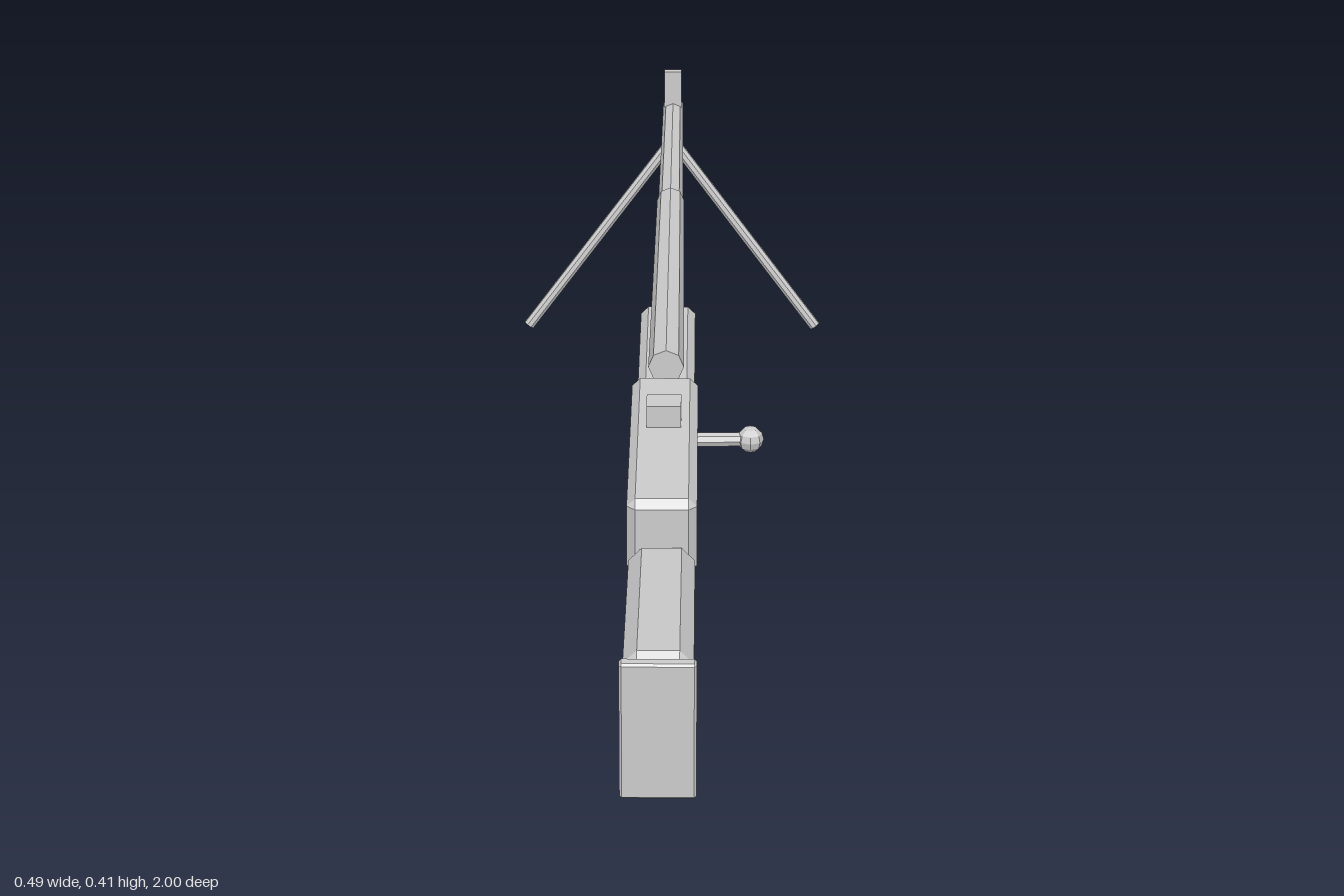
import * as THREE from 'three';
import { ConvexGeometry } from 'three/addons/geometries/ConvexGeometry.js';

const material = new THREE.MeshStandardMaterial({ color: 0xcccccc, flatShading: true });

// Box with every edge and corner chamfered by c
function chamferBox(w, h, d, c) {
  const points = [];
  for (const sx of [-1, 1]) for (const sy of [-1, 1]) for (const sz of [-1, 1]) {
    const x = w / 2, y = h / 2, z = d / 2;
    points.push(
      new THREE.Vector3(sx * x, sy * (y - c), sz * (z - c)),
      new THREE.Vector3(sx * (x - c), sy * y, sz * (z - c)),
      new THREE.Vector3(sx * (x - c), sy * (y - c), sz * z)
    );
  }
  return new ConvexGeometry(points);
}

export function createModel() {
  const model = new THREE.Group();

  function add(name, geometry, x, y, z, parent = model) {
    const mesh = new THREE.Mesh(geometry, material);
    mesh.name = name;
    mesh.position.set(x, y, z);
    parent.add(mesh);
    return mesh;
  }
  const box = (w, h, d) => new THREE.BoxGeometry(w, h, d);

  // Cylinder between two points
  function rod(name, a, b, radius, sides = 8) {
    const dir = b.clone().sub(a);
    const mid = a.clone().add(b).multiplyScalar(0.5);
    const mesh = add(name, new THREE.CylinderGeometry(radius, radius, dir.length(), sides), mid.x, mid.y, mid.z);
    mesh.quaternion.setFromUnitVectors(new THREE.Vector3(0, 1, 0), dir.normalize());
    return mesh;
  }

  // Body and furniture
  add('receiver', chamferBox(0.09, 0.106, 0.4, 0.011), 0, 0.316, 0.405);
  add('handguard', chamferBox(0.08, 0.055, 0.45, 0.011), 0, 0.278, 0.025);
  add('magazine', chamferBox(0.05, 0.28, 0.103, 0.009), 0, 0.14, 0.301);
  const stock = add('stock', chamferBox(0.085, 0.173, 0.375, 0.017), 0, 0.238, 0.789);
  stock.rotation.x = -0.1;
  add('buttPlate', chamferBox(0.092, 0.182, 0.018, 0.003), 0, 0.257, 0.99);

  // Barrel: tapered, with a small step, muzzle toward -z
  const profile = [[0, 0.1], [0.025, 0.1], [0.021, -0.55], [0.019, -0.55], [0.0165, -1], [0, -1]]
    .map(([r, z]) => new THREE.Vector2(r, -z)).reverse()
    .map((p) => new THREE.Vector2(p.x, -p.y));
  const barrel = add('barrel', new THREE.LatheGeometry(profile, 8), 0, 0.335, 0);
  barrel.rotation.x = Math.PI / 2;

  // Sights
  add('frontSight', box(0.028, 0.062, 0.013), 0, 0.376, -0.96);
  add('rearSight', box(0.046, 0.04, 0.038), 0, 0.38, 0.359);

  // Bolt handle on the left side
  rod('boltHandle', new THREE.Vector3(0.03, 0.346, 0.366), new THREE.Vector3(0.115, 0.346, 0.363), 0.01);
  add('boltKnob', new THREE.SphereGeometry(0.018, 8, 6), 0.115, 0.346, 0.363);

  // Trigger guard and trigger
  const guard = new THREE.Group();
  guard.name = 'triggerGuard';
  model.add(guard);
  add('guardBottom', box(0.05, 0.008, 0.11), 0, 0.184, 0.425, guard);
  for (const z of [0.373, 0.477]) add('guardPost', box(0.05, 0.044, 0.006), 0, 0.208, z, guard);
  add('trigger', box(0.014, 0.044, 0.01), 0, 0.21, 0.436, guard);

  // Cross lug below the handguard
  add('crossLug', box(0.075, 0.03, 0.009), 0, 0.19, -0.092);

  // Bipod legs
  for (const side of [-1, 1]) {
    rod(side > 0 ? 'leftBipodLeg' : 'rightBipodLeg',
      new THREE.Vector3(0, 0.33, -0.838), new THREE.Vector3(side * 0.237, 0.022, -0.787), 0.009);
  }
  return model;
}
